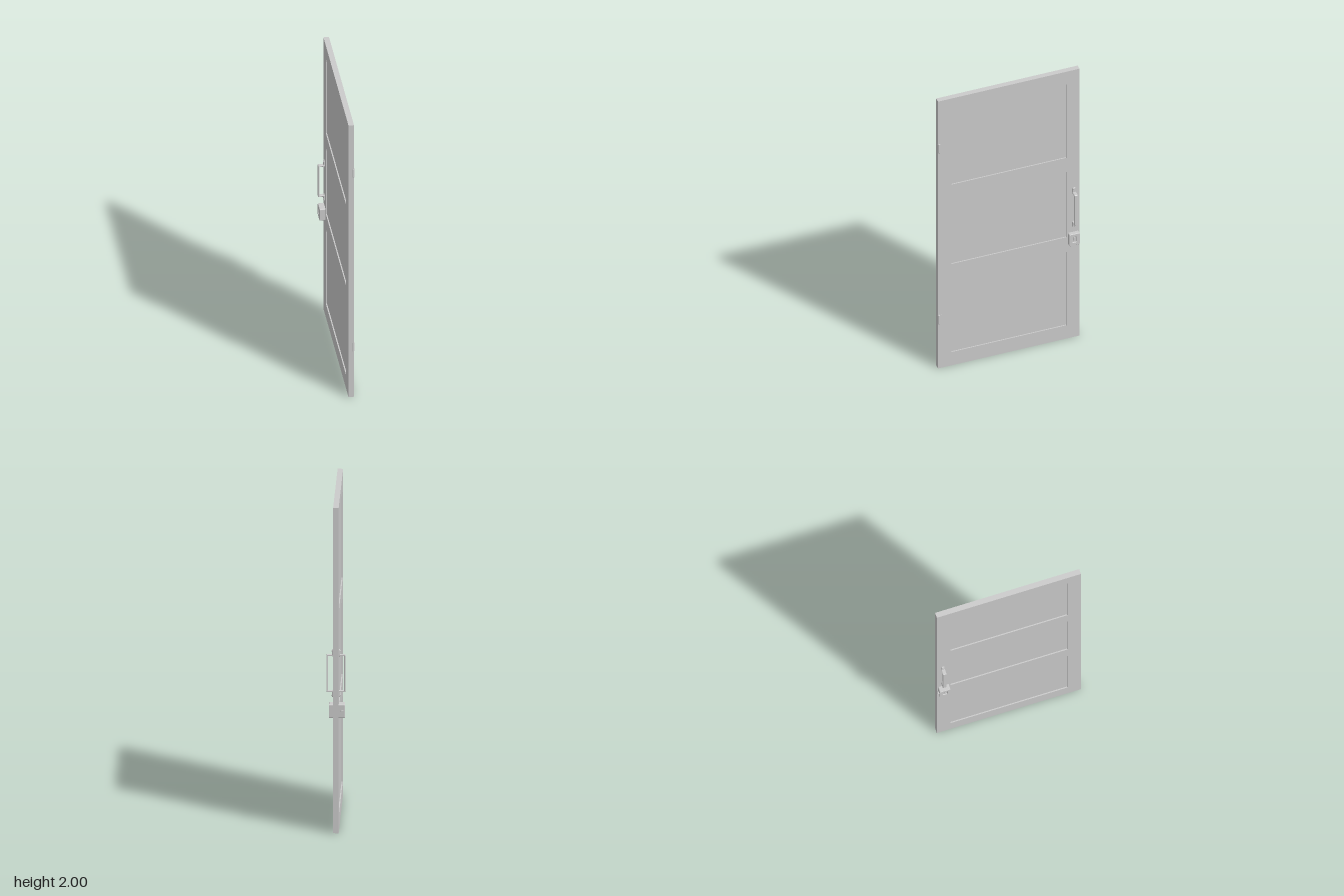
import * as THREE from 'three';

const MAT = new THREE.MeshStandardMaterial({ color: 0xcccccc });
const XMIN = -0.0175, XMAX = 0.0155; // door faces

function add(parent, name, geo, x = 0, y = 0, z = 0) {
  const m = new THREE.Mesh(geo, MAT);
  m.name = name;
  m.position.set(x, y, z);
  parent.add(m);
  return m;
}

// Rectangle centred on (cx, cy) with corner radius r
function rect(w, h, r = 0, cx = 0, cy = 0, Type = THREE.Shape) {
  const s = new Type(), a = w / 2, b = h / 2;
  if (!r) {
    s.moveTo(cx - a, cy - b); s.lineTo(cx + a, cy - b);
    s.lineTo(cx + a, cy + b); s.lineTo(cx - a, cy + b);
  } else {
    s.absarc(cx + a - r, cy + b - r, r, 0, Math.PI / 2);
    s.absarc(cx - a + r, cy + b - r, r, Math.PI / 2, Math.PI);
    s.absarc(cx - a + r, cy - b + r, r, Math.PI, Math.PI * 1.5);
    s.absarc(cx + a - r, cy - b + r, r, Math.PI * 1.5, Math.PI * 2);
  }
  s.closePath();
  return s;
}

// Extrude outwards from the door face on the given side (1 = +x, -1 = -x)
function plate(shape, depth, side, bevel = 0) {
  const g = new THREE.ExtrudeGeometry(shape, {
    depth: depth - bevel, curveSegments: 6, bevelEnabled: bevel > 0,
    bevelSize: bevel, bevelThickness: bevel, bevelOffset: -bevel, bevelSegments: 1,
  });
  return g.rotateY(side * Math.PI / 2);
}

export function createModel() {
  const door = new THREE.Group();
  door.name = 'door';

  // Frame with three openings, and thinner panels set into them
  const recess = 0.007;
  const frame = rect(0.9, 2, 0, 0, 1);
  const panels = [[0.1, 0.65], [0.76, 1.25], [1.355, 1.905]];
  for (const [y0, y1] of panels) {
    frame.holes.push(rect(0.73, y1 - y0, 0, 0, (y0 + y1) / 2, THREE.Path));
    add(door, 'panel', new THREE.BoxGeometry(XMAX - XMIN - 2 * recess, y1 - y0, 0.73),
      (XMIN + XMAX) / 2, (y0 + y1) / 2, 0);
  }
  add(door, 'doorFrame', plate(frame, XMAX - XMIN, 1), XMIN);

  for (const side of [1, -1]) {
    const face = side > 0 ? XMAX : XMIN;

    // Pull handle: a flat bar bent into a U
    const reach = side > 0 ? 0.057 : 0.058, t = 0.009, x0 = face, x1 = side * reach;
    const u = new THREE.Shape([
      [x0, 0.86], [x1 - side * 0.004, 0.86], [x1, 0.864], [x1, 1.086], [x1 - side * 0.004, 1.09], [x0, 1.09],
      [x0, 1.09 - t], [x1 - side * t, 1.09 - t], [x1 - side * t, 0.86 + t], [x0, 0.86 + t],
    ].map(([x, y]) => new THREE.Vector2(x, y)));
    add(door, 'pullHandle', new THREE.ExtrudeGeometry(u, {
      depth: 0.018, bevelEnabled: true, bevelSize: 0.002, bevelOffset: -0.002,
      bevelThickness: 0.002, bevelSegments: 1,
    }), 0, 0, -0.422);

    // Mounting tabs beyond the handle ends, each with a screw
    for (const y of [1.1, 0.85]) {
      add(door, 'handleMount', plate(rect(0.02, 0.042, 0.006), 0.007, side, 0.0015), face, y, -0.413);
      const screw = add(door, 'mountScrew', new THREE.CylinderGeometry(0.004, 0.005, 0.003, 12),
        face + side * 0.008, y + (y > 1 ? 0.011 : -0.011), -0.413);
      screw.rotation.z = -side * Math.PI / 2;
    }

    // Lock case with a sunken centre and a turn piece
    const depth = side > 0 ? 0.0255 : 0.036;
    const ring = rect(0.068, 0.085, 0.007);
    ring.holes.push(rect(0.028, 0.038, 0.005, 0, 0, THREE.Path));
    add(door, 'lockCase', plate(ring, depth, side, 0.002), face, 0.747, -0.409);
    add(door, 'lockCore', plate(rect(0.034, 0.044), depth - 0.007, side), face, 0.747, -0.409);
    add(door, 'lockTurn', plate(rect(0.009, 0.022, 0.004), depth - 0.003, side), face, 0.747, -0.409);
  }

  // Small latch stud on the edge of the deeper lock case
  const stud = add(door, 'lockStud', new THREE.CylinderGeometry(0.009, 0.011, 0.009, 12), -0.037, 0.747, -0.4465);
  stud.rotation.x = -Math.PI / 2;

  // Hinge barrels with end caps
  for (const y of [0.365, 1.645]) {
    add(door, 'hingeBarrel', new THREE.CylinderGeometry(0.008, 0.008, 0.06, 16), 0.0115, y, 0.443);
    for (const s of [1, -1])
      add(door, 'hingeCap', new THREE.CylinderGeometry(s > 0 ? 0.005 : 0.008, s > 0 ? 0.008 : 0.005, 0.006, 16),
        0.0115, y + s * 0.033, 0.443);
    add(door, 'hingeLeaf', new THREE.BoxGeometry(0.003, 0.066, 0.018), 0.0155, y, 0.435);
  }
  return door;
}
